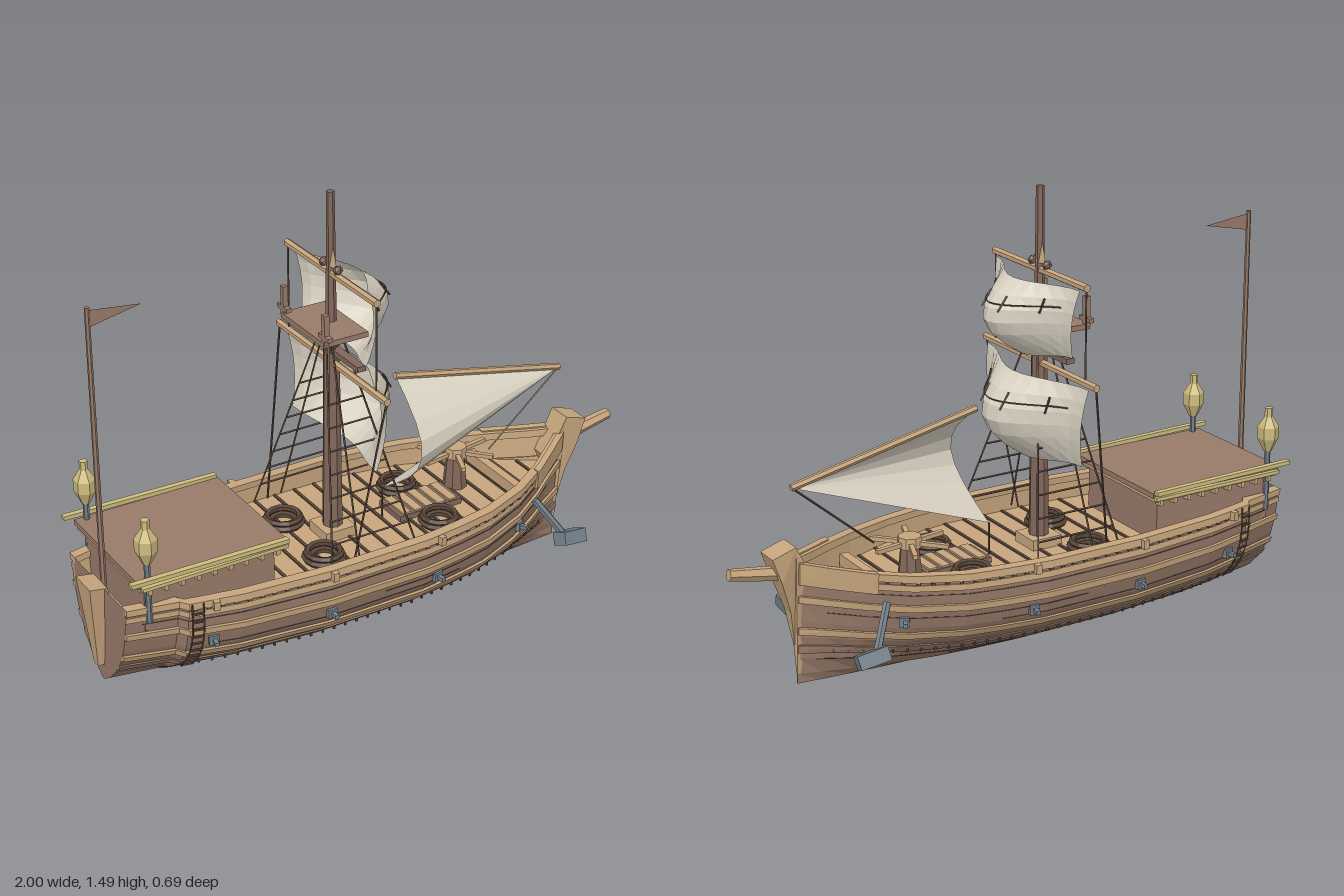
import * as THREE from 'three';

const mat = (name, color) => new THREE.MeshStandardMaterial({ name, color, flatShading: true, side: THREE.DoubleSide });
const V = (x, y, z) => new THREE.Vector3(x, y, z);

export function createModel() {
  const M = {
    hull: mat('hull brown', 0x977a69), tan: mat('tan timber', 0xc6a57d), dark: mat('dark rope', 0x5a473a),
    mast: mat('mast brown', 0x82675a), sail: mat('canvas', 0xd9d2c2), gold: mat('brass', 0xcdbc7e), steel: mat('iron', 0x747f89),
  };
  const root = new THREE.Group();
  root.name = 'sailingShip';
  const add = (name, geo, m, x = 0, y = 0, z = 0) => {
    const mesh = new THREE.Mesh(geo, m);
    mesh.name = name;
    mesh.position.set(x, y, z);
    root.add(mesh);
    return mesh;
  };
  const box = (name, m, sx, sy, sz, x, y, z) => add(name, new THREE.BoxGeometry(sx, sy, sz), m, x, y, z);
  const rod = (name, m, a, b, r0, r1 = r0, sides = 6) => {
    const d = b.clone().sub(a);
    const mesh = add(name, new THREE.CylinderGeometry(r1, r0, d.length(), sides), m);
    mesh.position.copy(a).addScaledVector(d, 0.5);
    mesh.quaternion.setFromUnitVectors(V(0, 1, 0), d.normalize());
    return mesh;
  };
  const rope = (name, a, b) => rod(name, M.dark, a, b, 0.0035, 0.0035, 4);
  // Skin a list of equal-length cross-sections
  const loft = (rows) => {
    const n = rows[0].length, idx = [];
    for (let i = 0; i < rows.length - 1; i++) for (let j = 0; j < n - 1; j++) {
      const a = i * n + j, b = a + n;
      idx.push(a, b, a + 1, b, b + 1, a + 1);
    }
    const g = new THREE.BufferGeometry().setFromPoints(rows.flat());
    g.setIndex(idx);
    g.computeVertexNormals();
    return g;
  };

  // Hull shape: plan fullness along x, half-width by height v
  const lerpTable = (t, x) => {
    for (let i = 1; i < t.length; i++) if (x <= t[i][0]) {
      return THREE.MathUtils.mapLinear(Math.max(x, t[0][0]), t[i - 1][0], t[i][0], t[i - 1][1], t[i][1]);
    }
    return t[t.length - 1][1];
  };
  const plan = [[-0.95, 0.6], [-0.79, 0.71], [-0.77, 0.8], [-0.6, 0.91], [-0.3, 1], [0.05, 1], [0.2, 0.94], [0.32, 0.87], [0.48, 0.69], [0.6, 0.48], [0.7, 0.26], [0.78, 0.08]];
  const prof = [[0, 0.012], [0.03, 0.1], [0.08, 0.19], [0.15, 0.27], [0.2, 0.3], [0.27, 0.32], [0.33, 0.322], [0.385, 0.315]];
  const hullPt = (x, v, out = 0, side = 1) => {
    const t = v / 0.385;
    const y = v + t * 0.045 * Math.max(0, (x - 0.3) / 0.48) ** 2 + (1 - t) * 0.035 * Math.abs(x) ** 3;
    const w = lerpTable(prof, v) * lerpTable(plan, x) ** (1 + 0.5 * (1 - t));
    return V(x, y, side * Math.max(0.002, w + out));
  };
  const stations = (x0, x1) => [x0, ...plan.map(p => p[0]).filter(x => x > x0 && x < x1), x1];
  const sides = [1, -1];

  // Hull skin, closed at both ends
  const rows = stations(-0.95, 0.78).map(x => [
    ...prof.map(p => hullPt(x, p[0], 0, -1)).reverse(), ...prof.map(p => hullPt(x, p[0]))]);
  rows.unshift(rows[0].map(p => V(p.x, p.y, 0)));
  rows.push(rows[rows.length - 1].map(p => V(p.x, p.y, 0)));
  add('hull', loft(rows), M.hull);

  // Strakes: planks that follow the hull
  const strake = (name, m, v0, v1, out, inn = -0.004, x0 = -0.95, x1 = 0.78) => {
    for (const s of sides) {
      const rings = stations(x0, x1).map(x => [[v0, inn], [v0, out], [v1, out], [v1, inn], [v0, inn]].map(([v, o]) => hullPt(x, v, o, s)));
      const mid = r => r.map(() => r[0].clone().add(r[2]).multiplyScalar(0.5));
      rings.unshift(mid(rings[0]));
      rings.push(mid(rings[rings.length - 1]));
      add(name, loft(rings), m);
    }
  };
  strake('topRail', M.tan, 0.362, 0.386, 0.011, -0.025);
  strake('bulwarkPlank', M.tan, 0.332, 0.352, 0.006);
  strake('innerBulwark', M.tan, 0.29, 0.37, -0.005, -0.014);
  strake('bowBulwark', M.tan, 0.322, 0.39, 0.018, -0.01, 0.58);
  strake('upperWale', M.tan, 0.262, 0.284, 0.012);
  strake('lowerWale', M.tan, 0.16, 0.182, 0.012);
  strake('ribbedWale', M.hull, 0.1, 0.125, 0.008);
  for (const [v, x0, x1] of [[0.05, -0.8, 0.3], [0.075, -0.3, 0.72], [0.205, -0.7, 0.2], [0.235, -0.1, 0.7], [0.315, -0.9, 0.6]]) {
    strake('plankSeam', M.dark, v, v + 0.003, 0.002, -0.002, x0, x1);
  }

  // Studs, gun ports and boarding ladder on both sides
  const onHull = (name, m, size, x, v, out, s) => {
    const p = hullPt(x, v, out, s);
    const q = hullPt(x + 0.02, v, out, s), b = box(name, m, ...size, p.x, p.y, p.z);
    b.rotation.y = -Math.atan2(q.z - p.z, 0.02);
    return b;
  };
  for (const s of sides) {
    for (let x = -0.75; x < 0.7; x += 0.042) {
      onHull('railStud', M.dark, [0.012, 0.008, 0.01], x, 0.357, 0.004, s);
      onHull('waleStud', M.dark, [0.007, 0.02, 0.006], x, 0.112, 0.007, s);
    }
    for (const x of [-0.69, -0.3, 0.1, 0.5]) {
      onHull('gunPort', M.steel, [0.032, 0.032, 0.016], x, 0.225, 0.006, s);
      onHull('gunMuzzle', M.steel, [0.014, 0.014, 0.05], x, 0.225, 0.014, s);
    }
    for (const x of [-0.69, -0.3, 0.1]) onHull('cleat', M.tan, [0.02, 0.03, 0.025], x, 0.37, 0.016, s);
    for (const x of [-0.765, -0.73]) {
      const pts = [0.1, 0.17, 0.27, 0.385].map(v => hullPt(x, v, 0.018, s));
      add('ladderRope', new THREE.TubeGeometry(new THREE.CatmullRomCurve3(pts), 8, 0.003, 4), M.dark);
    }
    for (let v = 0.11; v < 0.38; v += 0.03) onHull('ladderRung', M.dark, [0.04, 0.006, 0.007], -0.748, v, 0.018, s);
    // Anchor
    rod('anchorShank', M.steel, V(0.56, 0.31, s * 0.19), V(0.64, 0.18, s * 0.265), 0.013);
    const head = box('anchorHead', M.steel, 0.1, 0.045, 0.055, 0.655, 0.178, s * 0.268);
    head.rotation.set(s * -0.4, s * 0.2, -0.12);
  }

  // Deck with cross planks
  const deckY = 0.3;
  const deckPt = (x, s) => hullPt(x, deckY, -0.008, s).setY(deckY);
  add('deck', loft(stations(-0.94, 0.77).map(x => [deckPt(x, -1), deckPt(x, 1)])), M.tan);
  for (let x = -0.38; x < 0.72; x += 0.075) {
    box('deckSeam', M.dark, 0.01, 0.006, 2 * deckPt(x, 1).z - 0.02, x, deckY + 0.002, 0);
  }

  // Stem, bowsprit and stern post
  const post = (name, pts, width, fade) => {
    const g = new THREE.ExtrudeGeometry(new THREE.Shape(pts.map(p => new THREE.Vector2(...p))), { depth: width, bevelEnabled: false });
    g.translate(0, 0, -width / 2);
    const p = g.attributes.position;
    for (let i = 0; i < p.count; i++) p.setZ(i, p.getZ(i) * fade(p.getY(i)));
    add(name, g, M.tan);
  };
  post('stem', [[0.72, 0.35], [0.79, 0.49], [0.87, 0.465], [0.84, 0.38], [0.805, 0.27], [0.787, 0.15], [0.78, 0.05], [0.76, 0.05], [0.76, 0.25]], 0.085,
    y => THREE.MathUtils.clamp((y - 0.15) / 0.22, 0.1, 1));
  post('sternPost', [[-1, 0.395], [-0.94, 0.385], [-0.93, 0.34], [-0.945, 0.09], [-0.972, 0.09]], 0.1,
    y => THREE.MathUtils.clamp(y / 0.36, 0.3, 1));
  rod('bowsprit', M.tan, V(0.8, 0.395, 0), V(0.998, 0.43, 0), 0.026, 0.019);

  // Stern cabin
  box('cabin', M.hull, 0.45, 0.15, 0.4, -0.665, 0.37, 0);
  box('roofTrim', M.tan, 0.49, 0.02, 0.44, -0.665, 0.458, 0);
  box('roof', M.hull, 0.51, 0.018, 0.45, -0.662, 0.474, 0);
  for (const s of sides) {
    box('roofRail', M.gold, 0.54, 0.014, 0.02, -0.68, 0.49, s * 0.236).rotation.z = -0.015;
    box('eaveBeam', M.gold, 0.5, 0.012, 0.016, -0.66, 0.466, s * 0.232);
    for (let i = 0; i < 9; i++) box('eaveBracket', M.tan, 0.014, 0.018, 0.03, -0.88 + i * 0.055, 0.444, s * 0.212);
    // Stern lantern
    rod('lanternPole', M.steel, V(-0.88, 0.33, s * 0.21), V(-0.88, 0.56, s * 0.21), 0.01);
    const outline = [[0, 0.54], [0.014, 0.54], [0.036, 0.585], [0.036, 0.625], [0.014, 0.66], [0.014, 0.69], [0, 0.692]];
    add('lantern', new THREE.LatheGeometry(outline.map(p => new THREE.Vector2(...p)), 6), M.gold, -0.88, 0, s * 0.21);
  }

  // Flag
  rod('flagPole', M.hull, V(-0.93, 0.3, 0), V(-0.93, 1.31, 0), 0.01, 0.008);
  add('flag', new THREE.ShapeGeometry(new THREE.Shape([[-0.925, 1.3], [-0.925, 1.245], [-0.755, 1.28]].map(p => new THREE.Vector2(...p)))), M.hull);

  // Mast and lookout
  const mx = -0.11;
  rod('lowerMast', M.mast, V(mx, 0.3, 0), V(mx, 1.0, 0), 0.034, 0.026, 8);
  rod('upperMast', M.mast, V(mx, 0.98, 0), V(mx, 1.495, 0), 0.018, 0.013);
  box('mastStep', M.tan, 0.11, 0.04, 0.11, mx, 0.315, 0);
  rod('mastGusset', M.tan, V(mx, 1.25, 0), V(mx, 1.32, 0), 0.036, 0.014, 4).scale.x = 0.4;
  box('lookoutFloor', M.hull, 0.16, 0.018, 0.26, -0.135, 1.055, 0);
  box('lookoutBeam', M.mast, 0.03, 0.018, 0.36, mx, 0.97, 0);
  for (const s of sides) {
    add('pulley', new THREE.IcosahedronGeometry(0.017), M.mast, mx, 1.248, s * 0.042);
    box('lookoutPost', M.hull, 0.018, 0.1, 0.018, -0.205, 1.105, s * 0.125);
    box('lookoutRail', M.hull, 0.018, 0.014, 0.06, -0.205, 1.08, s * 0.125);
    rod('lookoutBrace', M.mast, V(mx, 0.96, 0), V(-0.14, 1.05, s * 0.1), 0.01);
  }

  // Square sails bellying forward to a ridge on the centreline
  const squareSail = (yTop, yBot, wTop, wBot, yard) => {
    const at = (u, v, off = 0) => {
      const belly = 0.5 + 0.5 * Math.cos(Math.PI * u);
      return V(
        mx - 0.005 + off + (0.03 + 0.175 * belly) * Math.sin(Math.PI * (0.17 + 0.72 * v)),
        THREE.MathUtils.lerp(yTop, yBot, v) - 0.025 * v * belly,
        u * THREE.MathUtils.lerp(wTop, wBot, v));
    };
    const grid = [];
    for (let i = 0; i <= 6; i++) grid.push([...Array(13)].map((_, j) => at(j / 6 - 1, i / 6)));
    add('squareSail', loft(grid), M.sail);
    rod('yard', M.tan, V(mx, yTop + 0.012, -yard), V(mx, yTop + 0.012, yard), 0.013);
    const line = [...Array(13)].map((_, j) => at((j / 6 - 1) * 0.8, 0.27, 0.004));
    add('reefLine', new THREE.TubeGeometry(new THREE.CatmullRomCurve3(line), 24, 0.0025, 4), M.dark);
    for (const u of [-0.6, -0.2, 0.2, 0.6]) rope('reefTie', at(u, 0.17, 0.006), at(u, 0.36, 0.006));
  };
  squareSail(1.215, 0.985, 0.245, 0.2, 0.27);
  squareSail(0.91, 0.645, 0.3, 0.26, 0.33);

  // Triangular foresail, bellying to one side
  const peak = V(0.13, 0.8, 0), tack = V(0.775, 0.665, 0), clew = V(0.08, 0.41, 0);
  const jib = [];
  for (let i = 0; i <= 8; i++) {
    jib.push([...Array(9)].map((_, j) => {
      const p = peak.clone().lerp(clew, j / 8).lerp(tack, i / 8);
      p.z += 0.195 * Math.sin(Math.PI * j / 8) * (1 - i / 8);
      return p;
    }));
  }
  add('foresail', loft(jib), M.sail);
  rod('foresailSpar', M.tan, V(0.125, 0.807, 0), V(0.78, 0.668, 0), 0.012);
  rope('foresailStay', tack, V(0.5, 0.43, 0));
  rope('foresailSheet', clew, V(0.08, 0.3, 0));

  // Rigging with ratlines
  for (const s of sides) {
    const feet = [-0.26, -0.16, 0.05].map(x => V(x, 0.34, s * 0.25));
    const heads = [-0.14, -0.125, -0.09].map(x => V(x, 1.03, s * 0.02));
    feet.forEach((f, i) => rope('shroud', f, heads[i]));
    for (let i = 1; i < 8; i++) {
      const k = i * 0.1;
      rope('ratline', feet[0].clone().lerp(heads[0], k), feet[2].clone().lerp(heads[2], k));
    }
    rope('upperBrace', V(mx, 1.22, s * 0.265), V(mx, 0.92, s * 0.265));
    rope('lowerBrace', V(mx, 0.92, s * 0.325), V(-0.2, 0.32, s * 0.27));
  }

  // Deck fittings: rope coils, hatch and capstan
  for (const [x, z] of [[-0.22, -0.13], [-0.22, 0.13], [0.22, -0.13], [0.22, 0.13]]) {
    for (const [r, y] of [[0.062, 0.312], [0.042, 0.31], [0.055, 0.328]]) {
      add('ropeCoil', new THREE.TorusGeometry(r, 0.011, 5, 14).rotateX(Math.PI / 2), M.dark, x, y, z);
    }
  }
  box('hatch', M.mast, 0.24, 0.02, 0.13, 0.23, 0.31, 0);
  for (let i = 0; i < 5; i++) box('hatchSlat', M.tan, 0.03, 0.008, 0.12, 0.14 + i * 0.045, 0.322, 0);
  rod('capstan', M.mast, V(0.4, 0.3, -0.05), V(0.4, 0.42, -0.05), 0.042, 0.03, 8);
  rod('capstanCap', M.tan, V(0.4, 0.415, -0.05), V(0.4, 0.45, -0.05), 0.042, 0.038, 8);
  for (const a of [0.15, 1.2, 2.3]) box('capstanBar', M.tan, 0.26, 0.014, 0.016, 0.4, 0.428, -0.05).rotation.y = a;
  box('foredeckBeam', M.tan, 0.03, 0.04, 0.3, 0.53, 0.33, 0);
  return root;
}
